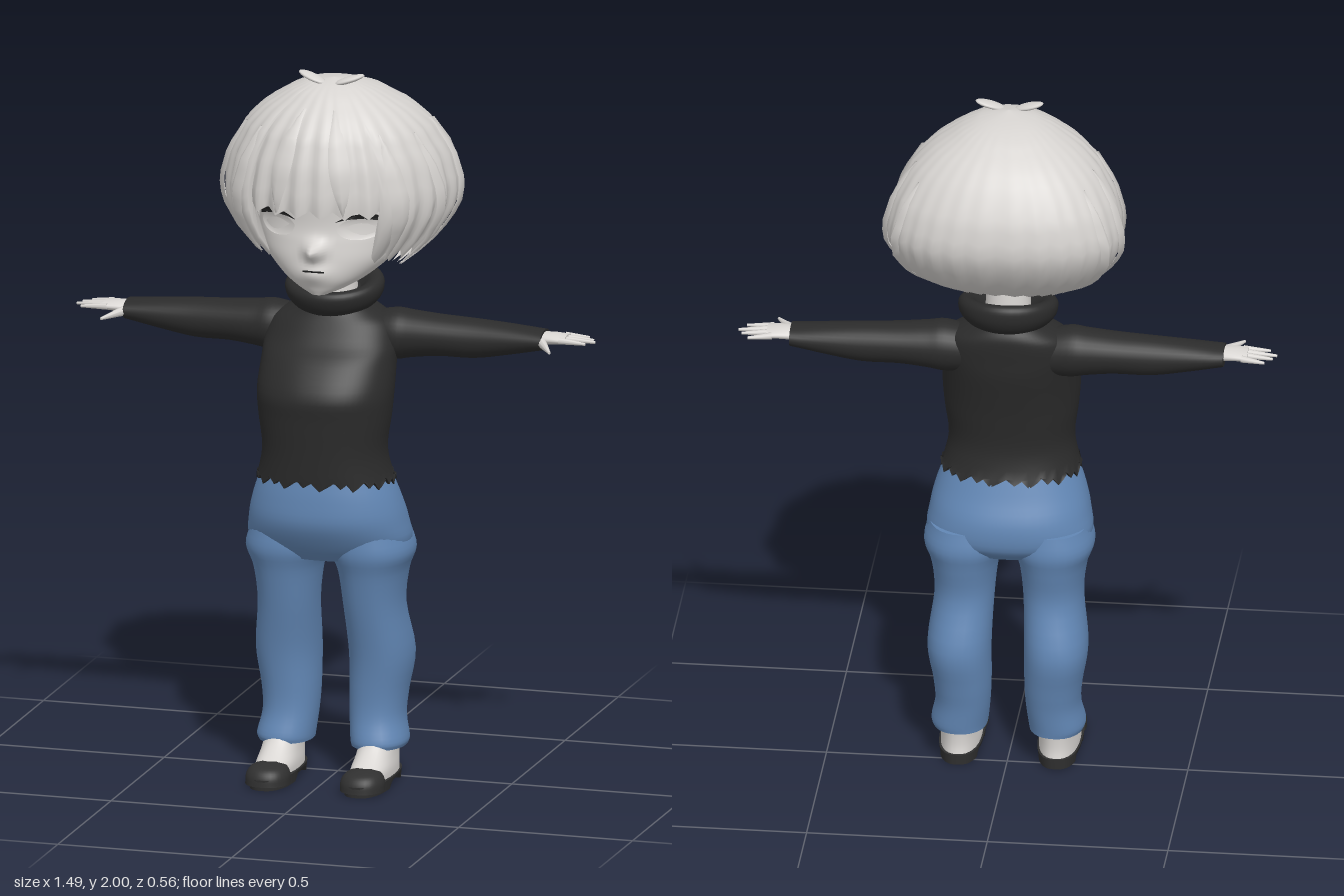
import * as THREE from 'three';

const mat = (name, color, side = THREE.FrontSide) => {
  const m = new THREE.MeshStandardMaterial({ color, side });
  m.name = name;
  return m;
};
const spow = (v, p) => Math.sign(v) * Math.abs(v) ** p;

// Smooth loft through elliptical sections [y, cx, cz, rx, rz]
function loft(sections, { segs = 32, steps = 4, n = 2, deform } = {}) {
  const mid = new THREE.CatmullRomCurve3(sections.map(s => new THREE.Vector3(s[0], s[1], s[2])), false, 'catmullrom');
  const rad = new THREE.CatmullRomCurve3(sections.map(s => new THREE.Vector3(s[3], s[4], 0)), false, 'catmullrom');
  const rows = (sections.length - 1) * steps;
  // Doubled end rings keep the caps sharp
  const plan = [[0, 0], [0, 1]];
  for (let i = 0; i <= rows; i++) plan.push([i / rows, 1]);
  plan.push([1, 1], [1, 0]);
  const pos = [], idx = [], v = new THREE.Vector3();
  plan.forEach(([t, k], i) => {
    const c = mid.getPoint(t), r = rad.getPoint(t);
    for (let j = 0; j < segs; j++) {
      const a = j / segs * Math.PI * 2;
      v.set(c.y + k * r.x * spow(Math.cos(a), 2 / n), c.x, c.z + k * r.y * spow(Math.sin(a), 2 / n));
      if (deform) deform(v, j);
      pos.push(v.x, v.y, v.z);
      if (i === plan.length - 1) continue;
      const p = i * segs + j, q = i * segs + (j + 1) % segs;
      idx.push(p, p + segs, q, q, p + segs, q + segs);
    }
  });
  return surface(pos, idx);
}

function surface(pos, idx) {
  const g = new THREE.BufferGeometry();
  g.setAttribute('position', new THREE.Float32BufferAttribute(pos, 3));
  g.setIndex(idx);
  g.computeVertexNormals();
  return g;
}

function mirrored(geo) {
  const g = geo.clone().scale(-1, 1, 1), a = g.index.array;
  for (let i = 0; i < a.length; i += 3) [a[i], a[i + 1]] = [a[i + 1], a[i]];
  return g;
}

// Linear lookup of a row in a table sorted by its first column
function lookup(table, y) {
  let i = 0;
  while (i < table.length - 2 && y > table[i + 1][0]) i++;
  const a = table[i], b = table[i + 1];
  const t = THREE.MathUtils.clamp((y - a[0]) / (b[0] - a[0]), 0, 1);
  return a.map((v, k) => v + (b[k] - v) * t);
}

const HEAD = [[1.40, 0, 0.17, 0.025, 0.03], [1.42, 0, 0.135, 0.075, 0.075], [1.45, 0, 0.10, 0.125, 0.12],
  [1.50, 0, 0.06, 0.18, 0.16], [1.55, 0, 0.03, 0.205, 0.185], [1.60, 0, 0.01, 0.215, 0.2],
  [1.70, 0, 0, 0.22, 0.215], [1.80, 0, 0, 0.2, 0.2], [1.88, 0, 0, 0.12, 0.12]];
const faceZ = (x, y) => {
  const [, , cz, rx, rz] = lookup(HEAD, y);
  return cz + rz * Math.sqrt(Math.max(0, 1 - (x / rx) ** 2));
};

// Hair outline: y, half width, front z, back z, middle z
const HAIR = [[1.44, 0.16, 0.16, -0.03, 0.05], [1.49, 0.225, 0.2, -0.115, 0.01], [1.54, 0.275, 0.245, -0.195, -0.02],
  [1.615, 0.32, 0.28, -0.255, -0.045], [1.68, 0.328, 0.285, -0.28, -0.05], [1.77, 0.305, 0.272, -0.268, -0.04],
  [1.85, 0.258, 0.242, -0.225, -0.02], [1.90, 0.205, 0.2, -0.182, 0], [1.95, 0.125, 0.14, -0.105, 0.02],
  [1.97, 0.075, 0.095, -0.045, 0.03], [1.982, 0, 0.04, 0.04, 0.04]];
function hairPoint(a, y, k = 1) {
  const [, rx, zf, zb, cz] = lookup(HAIR, y), c = Math.cos(a);
  const p = c < 0 ? 0.85 : 1;
  return [k * rx * spow(Math.sin(a), p), y, cz + k * (c > 0 ? zf - cz : cz - zb) * spow(c, p)];
}

// One shell with a short fringe, longer sides and ridged strands
function hairShell() {
  const cols = 180, rows = 22, pos = [], idx = [];
  for (let j = 0; j < cols; j++) {
    const a = (j / cols) * Math.PI * 2 - Math.PI, d = Math.abs(a);
    const f = (j % 6) / 6, tooth = Math.abs(f - 0.5) * 2;
    const hem = d < 0.66 ? 1.635 + 0.02 * tooth : d < 1.7 ? 1.49 + 0.03 * tooth : 1.455 + 0.025 * tooth;
    const amp = d < 1.6 ? 0.045 : 0.018;
    for (let i = 0; i <= rows; i++) {
      const v = i / rows;
      const y = 1.982 - (1.982 - hem) * (1 - Math.cos(v * Math.PI / 2)) * (0.55 + 0.45 * v);
      pos.push(...hairPoint(a, y, 1 - amp * v * tooth));
      if (i === rows) continue;
      const p = j * (rows + 1) + i, q = ((j + 1) % cols) * (rows + 1) + i;
      idx.push(p, p + 1, q, q, p + 1, q + 1);
    }
  }
  return surface(pos, idx);
}

// Loose tapered lock lying just outside the shell
function hairLock(a0, a1, y0, y1, width) {
  const pos = [], idx = [], n = 12;
  for (let i = 0; i <= n; i++) {
    const t = i / n, a = a0 + (a1 - a0) * t, y = y0 + (y1 - y0) * t, w = width * Math.sin(Math.PI * (0.08 + 0.9 * t));
    const k = 1.005 + 0.02 * Math.sin(t * Math.PI);
    pos.push(...hairPoint(a - w, y, k - 0.02), ...hairPoint(a, y, k + 0.015), ...hairPoint(a + w, y, k - 0.02));
    if (i < n) for (const p of [i * 3, i * 3 + 1]) idx.push(p, p + 3, p + 1, p + 1, p + 3, p + 4);
  }
  return surface(pos, idx);
}

// Thin patch that follows the face
function facePatch(shape, lift) {
  const g = new THREE.ShapeGeometry(shape, 16), p = g.attributes.position;
  for (let i = 0; i < p.count; i++) p.setZ(i, faceZ(p.getX(i), p.getY(i)) + lift);
  g.computeVertexNormals();
  return g;
}

// Tapered rod between two points
function rod(a, b, r0, r1) {
  const A = new THREE.Vector3(...a), d = new THREE.Vector3(...b).sub(A), len = d.length();
  const g = new THREE.CylinderGeometry(r1, r0, len, 8, 1).translate(0, len / 2, 0);
  g.applyQuaternion(new THREE.Quaternion().setFromUnitVectors(new THREE.Vector3(0, 1, 0), d.normalize()));
  return g.translate(...a);
}

export function createModel() {
  const root = new THREE.Group();
  root.name = 'girl';
  const pale = mat('pale skin', 0xd9d6d3), hair = mat('pale hair', 0xd6d3d0, THREE.DoubleSide);
  const knit = mat('black knit', 0x2b2b2b), denim = mat('blue denim', 0x6287b5);
  const leather = mat('black leather', 0x303030), ink = mat('lash black', 0x1c1c1c, THREE.DoubleSide);
  const add = (name, geo, m) => {
    const mesh = new THREE.Mesh(geo, m);
    mesh.name = name;
    root.add(mesh);
  };
  const pair = (name, geo, m) => {
    add(name + 'Left', geo, m);
    add(name + 'Right', mirrored(geo), m);
  };

  // Head with nose and lips raised from the face
  add('head', loft(HEAD, { segs: 64, steps: 6, deform: v => {
    if (v.z < 0.1) return;
    v.z += 0.05 * Math.exp(-((v.x / 0.022) ** 2) - ((v.y - 1.53) / 0.025) ** 2);
    v.z += 0.014 * Math.exp(-((v.x / 0.04) ** 2) - ((v.y - 1.465) / 0.025) ** 2);
  } }), pale);
  add('neck', loft([[1.32, 0, 0.025, 0.065, 0.065], [1.47, 0, 0.03, 0.06, 0.06]]), pale);
  pair('ear', new THREE.SphereGeometry(1, 16, 12).scale(0.02, 0.05, 0.03).translate(0.21, 1.57, 0.01), pale);
  const eye = new THREE.Shape().absellipse(0.118, 1.592, 0.058, 0.03, 0, Math.PI * 2);
  pair('eye', facePatch(eye, 0.006), pale);
  const lash = new THREE.Shape();
  lash.moveTo(0.055, 1.612);
  lash.quadraticCurveTo(0.12, 1.655, 0.185, 1.618);
  lash.lineTo(0.18, 1.605);
  lash.quadraticCurveTo(0.12, 1.635, 0.055, 1.612);
  pair('eyelash', facePatch(lash, 0.009), ink);
  add('mouth', new THREE.BoxGeometry(0.06, 0.004, 0.004).translate(0, 1.474, faceZ(0, 1.474) + 0.013), ink);

  // Hair
  add('hair', hairShell(), hair);
  [[0.75, 0.85, 1.86, 1.5, 0.09], [1.2, 1.35, 1.85, 1.48, 0.07], [1.75, 1.65, 1.86, 1.46, 0.08],
    [2.15, 2.0, 1.84, 1.46, 0.08], [0.25, 0.3, 1.92, 1.645, 0.1]].forEach((l, i) => pair('hairLock' + i, hairLock(...l), hair));
  pair('hairTuft', new THREE.SphereGeometry(1, 16, 10).scale(0.044, 0.009, 0.022)
    .rotateZ(0.32).rotateY(0.2).translate(0.053, 1.983, 0.065), hair);

  // Sweater with a ragged hem, tilted roll collar and sleeves
  add('sweater', loft([[0.855, 0, 0.108, 0.195, 0.146], [0.95, 0, 0.122, 0.174, 0.139], [1.05, 0, 0.12, 0.185, 0.15],
    [1.12, 0, 0.114, 0.19, 0.159], [1.2, 0, 0.08, 0.188, 0.144], [1.25, 0, 0.052, 0.188, 0.122],
    [1.3, 0, 0.033, 0.172, 0.108], [1.33, 0, 0.025, 0.13, 0.097], [1.36, 0, 0.025, 0.08, 0.08]], {
    segs: 64, n: 2.2, deform: (v, j) => { if (v.y < 0.87) v.y += [0, 0.022, 0.008, 0.028, 0.012][j % 5]; } }), knit);
  add('collar', loft([[-0.055, 0, 0, 0.085, 0.085], [-0.04, 0, 0, 0.11, 0.108], [-0.015, 0, 0, 0.132, 0.125],
    [0.015, 0, 0, 0.138, 0.13], [0.032, 0, 0, 0.125, 0.118], [0.028, 0, 0, 0.1, 0.095], [0.0, 0, 0, 0.07, 0.07]],
    { segs: 40 }).rotateX(0.2).translate(0, 1.382, 0.027), knit);
  // Sections below run along x: [x, -y, z, ry, rz]
  pair('sleeve', loft([[0.08, -1.255, 0.02, 0.06, 0.06], [0.17, -1.262, 0.02, 0.072, 0.072], [0.22, -1.264, 0.018, 0.066, 0.069],
    [0.3, -1.265, 0.016, 0.058, 0.064], [0.4, -1.263, 0.014, 0.055, 0.059], [0.5, -1.268, 0.014, 0.043, 0.055],
    [0.6, -1.274, 0.015, 0.028, 0.051]]).rotateZ(-Math.PI / 2), knit);

  // Hands
  pair('palm', loft([[0.57, -1.276, 0.015, 0.018, 0.03], [0.62, -1.28, 0.015, 0.016, 0.037], [0.665, -1.28, 0.014, 0.012, 0.04]],
    { segs: 20 }).rotateZ(-Math.PI / 2), pale);
  [[-0.02, -0.031, 0.715], [0.004, -0.004, 0.735], [0.025, 0.018, 0.745], [0.045, 0.047, 0.725]].forEach(([z0, z1, tip], i) =>
    pair('finger' + i, rod([0.65, 1.281, z0], [tip, 1.277, z1], 0.01, 0.004), pale));
  pair('thumb', rod([0.595, 1.274, 0.04], [0.645, 1.265, 0.122], 0.015, 0.004), pale);

  // Jeans
  add('jeansHips', loft([[0.64, 0, 0.067, 0.15, 0.11], [0.68, 0, 0.067, 0.225, 0.145], [0.75, 0, 0.085, 0.222, 0.165],
    [0.82, 0, 0.1, 0.205, 0.152], [0.885, 0, 0.108, 0.18, 0.136]], { segs: 48, n: 2.2 }), denim);
  pair('jeansLeg', loft([[0.72, 0.12, 0.067, 0.1, 0.135], [0.66, 0.122, 0.063, 0.114, 0.142], [0.6, 0.122, 0.06, 0.094, 0.127],
    [0.5, 0.123, 0.055, 0.083, 0.109], [0.36, 0.134, 0.02, 0.088, 0.113], [0.25, 0.126, 0.022, 0.08, 0.098],
    [0.18, 0.125, 0.03, 0.076, 0.092], [0.12, 0.134, 0.042, 0.079, 0.097], [0.1, 0.133, 0.042, 0.075, 0.094]].reverse(),
    { n: 2.2 }), denim);

  // Shoes: pale upper, dark arched sole and toe cap
  pair('shoeUpper', loft([[0.022, 0.136, 0.1, 0.056, 0.135], [0.05, 0.136, 0.1, 0.056, 0.13], [0.08, 0.136, 0.075, 0.052, 0.105],
    [0.11, 0.136, 0.055, 0.05, 0.088], [0.15, 0.136, 0.04, 0.05, 0.078]], { n: 2.3 }), pale);
  pair('shoeSole', loft([[0, 0.136, 0.12, 0.058, 0.157], [0.03, 0.136, 0.12, 0.061, 0.16]], { segs: 64, n: 2.6, deform: v => {
    if (v.y < 0.012 && v.z > 0.03 && v.z < 0.13) v.y += 0.018;
  } }), leather);
  pair('toeCap', loft([[0.01, 0.136, 0.215, 0.061, 0.066], [0.035, 0.136, 0.213, 0.06, 0.064], [0.055, 0.136, 0.208, 0.048, 0.052],
    [0.066, 0.136, 0.2, 0.02, 0.025]], { n: 2.2 }), leather);
  return root;
}
